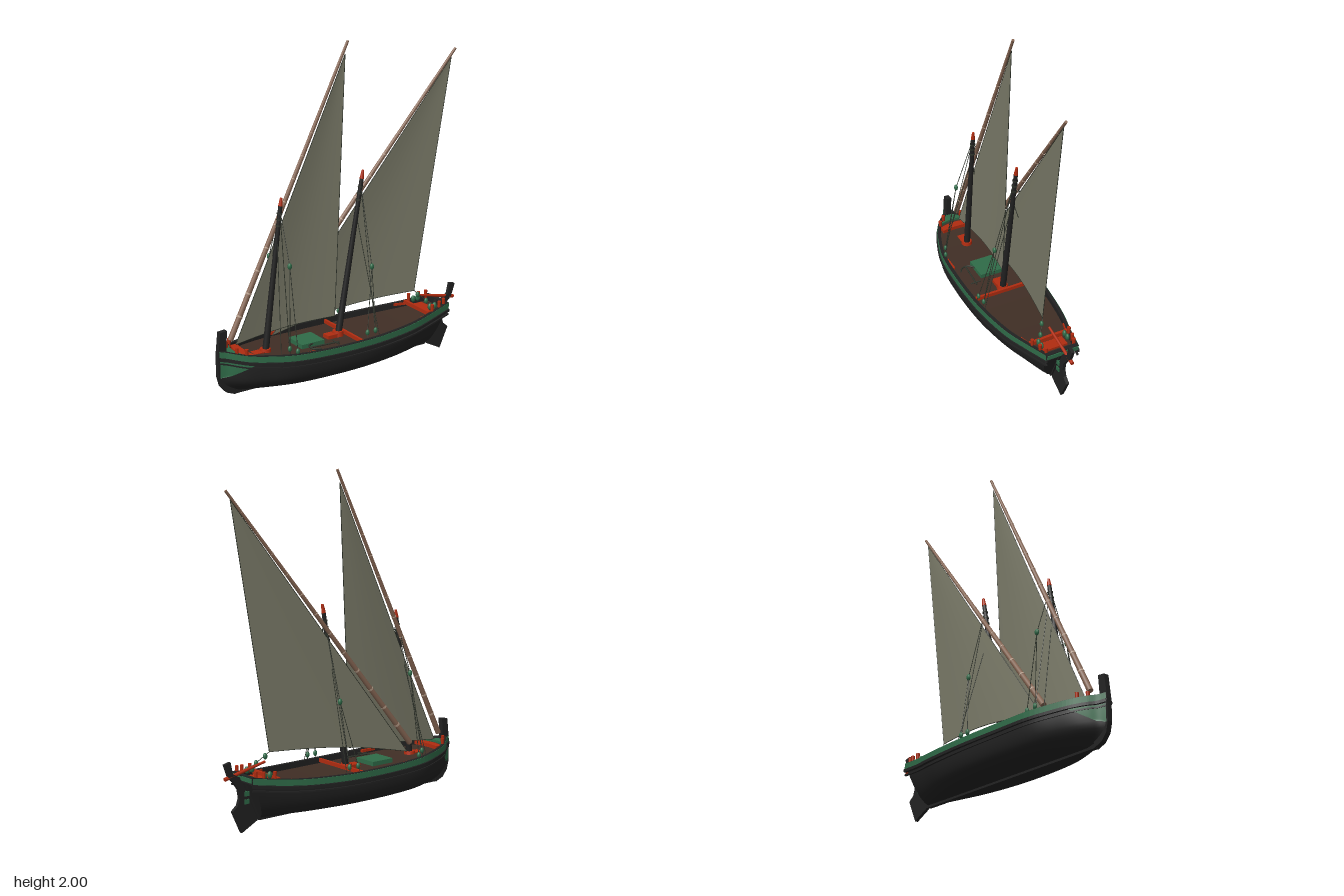
import * as THREE from 'three';

const V = (x, y, z) => new THREE.Vector3(x, y, z);
const paint = (name, color, side = THREE.FrontSide) => {
  const m = new THREE.MeshStandardMaterial({ color, side });
  m.name = name;
  return m;
};

export function createModel() {
  const boat = new THREE.Group();
  boat.name = 'latteenBoat';
  const black = paint('tarBlack', 0x222222, THREE.DoubleSide);
  const green = paint('railGreen', 0x2f6b48, THREE.DoubleSide);
  const red = paint('trimRed', 0xb02c10);
  const brown = paint('deckBrown', 0x402e25, THREE.DoubleSide);
  const bamboo = paint('yardBrown', 0x866653);
  const lash = paint('lashing', 0xb59c88);
  const canvas = paint('sailCanvas', 0x7b7b69, THREE.DoubleSide);
  const rope = paint('rope', 0x2e332a);

  const add = (name, geo, mat, x = 0, y = 0, z = 0) => {
    const m = new THREE.Mesh(geo, mat);
    m.name = name;
    m.position.set(x, y, z);
    boat.add(m);
    return m;
  };
  const box = (name, mat, w, h, d, x, y, z) => add(name, new THREE.BoxGeometry(w, h, d), mat, x, y, z);
  // Tapered round bar between two points
  const rod = (name, mat, a, b, r0, r1 = r0, sides = 10) => {
    const d = b.clone().sub(a);
    const m = add(name, new THREE.CylinderGeometry(r1, r0, d.length(), sides), mat);
    m.position.copy(a).addScaledVector(d, 0.5);
    m.quaternion.setFromUnitVectors(V(0, 1, 0), d.normalize());
    return m;
  };
  const line = (a, b, r = 0.0022) => rod('rigging', rope, a, b, r, r, 5);
  const block = (p, r = 0.016) => {
    const m = add('block', new THREE.SphereGeometry(r, 10, 8), green, p.x, p.y, p.z);
    m.scale.set(0.85, 1.2, 0.7);
  };
  // Skin over rows of points
  const loft = (rows, flat = false) => {
    const n = rows[0].length, idx = [];
    for (let i = 0; i < rows.length - 1; i++)
      for (let j = 0; j < n - 1; j++) {
        const a = i * n + j, b = a + n;
        idx.push(a, b, a + 1, b, b + 1, a + 1);
      }
    let g = new THREE.BufferGeometry().setFromPoints(rows.flat());
    g.setIndex(idx);
    if (flat) g = g.toNonIndexed();
    g.computeVertexNormals();
    return g;
  };
  const plate = (name, pts, depth, mat) => {
    const g = new THREE.ExtrudeGeometry(new THREE.Shape(pts.map(p => new THREE.Vector2(...p))), { depth, bevelEnabled: false });
    return add(name, g, mat, 0, 0, -depth / 2);
  };

  // Hull plan: x, half beam, sheer height
  const plan = new THREE.CatmullRomCurve3([
    [-0.84, 0.014, 0.335], [-0.8, 0.035, 0.328], [-0.76, 0.075, 0.322], [-0.7, 0.12, 0.313], [-0.6, 0.163, 0.303],
    [-0.45, 0.207, 0.292], [-0.2, 0.224, 0.283], [0.05, 0.223, 0.282], [0.2, 0.211, 0.285],
    [0.4, 0.181, 0.294], [0.55, 0.142, 0.308], [0.72, 0.1, 0.332]].map(p => V(...p)));
  const N = 56;
  const steps = Array.from({ length: N + 1 }, (_, i) => i / N);
  const skin = (t, k, out = 0, s = 1) => {
    const c = plan.getPoint(t), u = (c.x + 0.84) / 1.56;
    const n = 2 + 1.8 * Math.sin(Math.PI * Math.min(1, Math.max(0, u))) ** 0.7;
    const bow = -0.84 + 0.1 * Math.max(0, 1 - k / 0.4) ** 2, stern = 0.61 + 0.11 * k;
    const z = c.y * (1 - (1 - k) ** n) ** (1 / n) + out;
    return V(bow + (stern - bow) * u, 0.07 + (c.z - 0.07) * k, s * z);
  };
  const levels = Array.from({ length: 17 }, (_, j) => 1 - Math.cos(j / 16 * Math.PI / 2) ** 0.8);
  // Bar with a rectangular section swept along the sheer on one side
  const sweep = (name, mat, s, in0, out0, y0, y1) => {
    const rows = steps.map(t => {
      const c = plan.getPoint(t);
      return [[in0, y0], [out0, y0], [out0, y1], [in0, y1], [in0, y0]]
        .map(([o, y]) => V(c.x, c.z + y, s * Math.max(0, c.y + o)));
    });
    add(name, loft(rows, true), mat);
  };

  for (const s of [1, -1]) {
    add('hullSide', loft(steps.map(t => levels.map(k => skin(t, k, 0, s)))), black);
    sweep('sheerBand', green, s, -0.004, 0.006, -0.034, 0.001);
    sweep('bulwarkCap', black, s, -0.018, 0.003, -0.04, 0.003);
    sweep('rubbingStrake', black, s, -0.005, 0.013, -0.053, -0.036);
    sweep('lowerStrake', black, s, -0.005, 0.007, -0.075, -0.066);
    // Painted bow patch
    const patch = [];
    for (let i = 0; i <= 8; i++) {
      const k = 0.4 + 0.38 * i / 8, end = 0.015 + 0.285 * Math.sqrt(i / 8);
      patch.push(Array.from({ length: 11 }, (_, j) => skin(0.01 + (end - 0.01) * j / 10, k, 0.004, s)));
    }
    add('bowPatch', loft(patch), green);
  }
  add('transom', loft(levels.map(k => [skin(1, k), skin(1, k, 0, -1)])), black);
  box('transomRail', black, 0.025, 0.04, 0.2, 0.71, 0.315, 0);
  box('transomBand', green, 0.008, 0.025, 0.2, 0.724, 0.318, 0);
  add('deck', loft(steps.map(t => {
    const c = plan.getPoint(t), z = Math.max(0.004, c.y - 0.008);
    return [V(c.x, c.z - 0.032, -z), V(c.x, c.z - 0.032, z)];
  })), brown);
  box('keel', black, 1.36, 0.025, 0.024, -0.07, 0.07, 0);

  // Stem, sternpost, rudder and tiller
  plate('stemPost', [[-0.74, 0.056], [-0.795, 0.078], [-0.83, 0.12], [-0.845, 0.18], [-0.845, 0.31], [-0.83, 0.445],
    [-0.785, 0.45], [-0.795, 0.3], [-0.8, 0.17], [-0.74, 0.09]], 0.032, black);
  plate('sternPost', [[0.58, 0.058], [0.612, 0.058], [0.73, 0.335], [0.7, 0.335]], 0.024, black);
  plate('rudder', [[0.622, 0.06], [0.73, 0.004], [0.79, 0.135], [0.755, 0.165], [0.742, 0.205], [0.75, 0.255],
    [0.78, 0.3], [0.812, 0.33], [0.84, 0.41], [0.8, 0.42], [0.785, 0.35], [0.74, 0.325]], 0.02, black);
  for (const [x, y] of [[0.695, 0.225], [0.695, 0.18]]) box('rudderHinge', green, 0.03, 0.026, 0.032, x, y, 0);
  rod('tiller', red, V(0.56, 0.385, 0), V(0.835, 0.325, 0), 0.007, 0.011);

  // Masts with red heads and deck collars
  const mast = (a, b) => {
    const neck = a.clone().lerp(b, 0.95);
    rod('mast', black, a, neck, 0.02, 0.012, 14);
    rod('mastHead', red, neck, b, 0.013, 0.007, 14);
    box('mastStep', red, 0.1, 0.022, 0.055, a.x - 0.035, 0.262, 0);
    add('mastCollar', new THREE.CylinderGeometry(0.032, 0.036, 0.03, 16), red, a.x, 0.268, 0);
    for (const f of [0.82, 0.86, 0.9]) {
      const p = a.clone().lerp(b, f);
      rod('mastLashing', rope, p, p.clone().lerp(b, 0.06), 0.017, 0.017);
    }
  };
  mast(V(-0.53, 0.25, 0), V(-0.41, 1.16, 0));
  mast(V(-0.03, 0.24, 0), V(0.147, 1.24, 0));

  // Yards with lashings
  const yard = (a, b) => {
    rod('yard', bamboo, a, b, 0.017, 0.008, 12);
    for (let i = 1; i < 13; i++) {
      const p = a.clone().lerp(b, i / 13), r = 0.0185 - 0.009 * i / 13;
      rod('yardLashing', lash, p, p.clone().lerp(b, 0.006), r, r, 12);
    }
  };
  yard(V(-0.74, 0.37, -0.03), V(0.055, 2, -0.022));
  yard(V(-0.45, 0.36, -0.09), V(0.77, 1.9, 0.05));

  // Sails: rows from foot to peak, with a slight belly
  const sail = (name, tack, clew, peak, sag) => {
    const rows = [];
    for (let i = 0; i <= 16; i++) {
      const t = i / 16, a = tack.clone().lerp(peak, t), b = clew.clone().lerp(peak, t);
      rows.push(Array.from({ length: 13 }, (_, j) => {
        const w = Math.sin(Math.PI * j / 12) * (1 - t), p = a.clone().lerp(b, j / 12);
        return p.add(V(0, sag * w * (1 - t), -0.02 * w));
      }));
    }
    add(name, loft(rows), canvas);
    line(clew, peak);
    line(tack, peak);
    const foot = new THREE.CatmullRomCurve3(rows[0]);
    add('footRope', new THREE.TubeGeometry(foot, 24, 0.002, 5), rope);
  };
  sail('foreSail', V(-0.705, 0.335, -0.03), V(-0.045, 0.375, -0.01), V(0.036, 1.925, -0.022), 0.01);
  sail('mainSail', V(-0.43, 0.31, -0.088), V(0.515, 0.43, 0.02), V(0.742, 1.85, 0.047), 0.03);

  // Shrouds with blocks on both sides
  for (const s of [1, -1]) {
    const shroud = (top, mid, feet) => {
      line(top, mid);
      block(mid);
      for (const f of feet) {
        line(mid, f);
        block(f.clone().lerp(mid, 0.07), 0.015);
      }
      line(top, feet[0]);
    };
    shroud(V(-0.42, 1.1, 0), V(-0.428, 0.79, 0.113 * s), [V(-0.475, 0.29, 0.18 * s), V(-0.43, 0.27, 0.2 * s)]);
    shroud(V(0.132, 1.16, 0), V(0.123, 0.69, 0.13 * s), [V(0.105, 0.29, 0.2 * s), V(0.04, 0.29, 0.205 * s)]);
    line(V(-0.44, 0.95, 0), V(-0.52, 0.28, 0.16 * s));
    line(V(0.1, 0.98, 0), V(0.13, 0.28, 0.2 * s));
    // Bollards, cleats and stern tackle
    for (const [x, z, y] of [[-0.75, 0.06, 0.33], [-0.71, 0.1, 0.325], [0.58, 0.12, 0.33], [0.645, 0.105, 0.335], [0.69, 0.09, 0.34]])
      add('bollard', new THREE.CylinderGeometry(0.011, 0.009, 0.05, 10), red, x, y, z * s);
    box('sideCleat', red, 0.1, 0.016, 0.016, -0.36, 0.277, 0.194 * s);
    box('sternCleat', red, 0.08, 0.016, 0.018, 0.52, 0.295, 0.135 * s).rotation.y = 0.25 * s;
    for (const x of [0.59, 0.625]) block(V(x, 0.33, 0.085 * s), 0.018);
  }
  line(V(0.515, 0.43, 0.02), V(0.6, 0.34, 0.085));
  block(V(0.533, 0.405, 0.035));
  block(V(0.575, 0.365, 0.065));

  // Deck fittings
  box('hatch', green, 0.155, 0.026, 0.15, -0.25, 0.268, 0);
  box('midBeam', red, 0.016, 0.022, 0.4, 0.01, 0.27, 0);
  box('sternBeam', red, 0.018, 0.024, 0.25, 0.555, 0.305, 0);
  box('helmBench', red, 0.07, 0.018, 0.15, 0.61, 0.293, 0);
  const bowBeam = new THREE.Shape();
  bowBeam.moveTo(-0.66, 0.1).lineTo(-0.7, 0.1).quadraticCurveTo(-0.74, 0, -0.7, -0.1).lineTo(-0.66, -0.1).quadraticCurveTo(-0.68, 0, -0.66, 0.1);
  add('bowBeam', new THREE.ExtrudeGeometry(bowBeam, { depth: 0.022, bevelEnabled: false }), red, 0, 0.308, 0).rotation.x = Math.PI / 2;
  const foredeck = new THREE.Shape();
  foredeck.moveTo(-0.82, 0).lineTo(-0.72, 0.09).quadraticCurveTo(-0.76, 0, -0.72, -0.09);
  add('foredeck', new THREE.ExtrudeGeometry(foredeck, { depth: 0.015, bevelEnabled: false }), green, 0, 0.318, 0).rotation.x = Math.PI / 2;

  // Anchor
  rod('anchorShank', rope, V(-0.3, 0.275, 0.12), V(-0.11, 0.275, 0.135), 0.005);
  rod('anchorStock', rope, V(-0.13, 0.275, 0.1), V(-0.13, 0.275, 0.165), 0.004);
  const arms = add('anchorArms', new THREE.TorusGeometry(0.045, 0.005, 6, 16, Math.PI), rope, -0.255, 0.275, 0.122);
  arms.rotation.set(Math.PI / 2, 0, Math.PI / 2);
  return boat;
}
